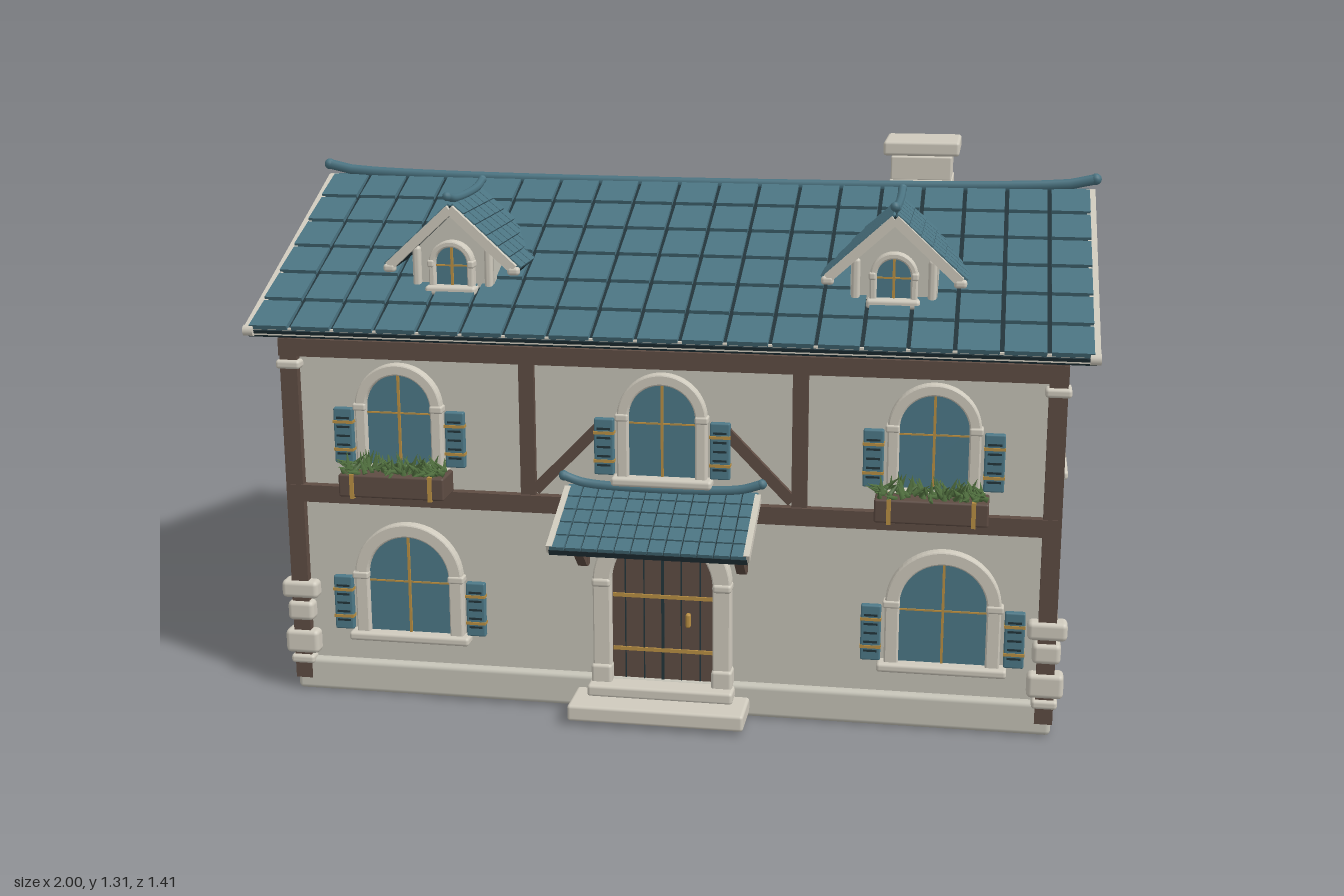
import * as THREE from 'three';
import { mergeGeometries } from 'three/addons/utils/BufferGeometryUtils.js';
import { RoundedBoxGeometry } from 'three/addons/geometries/RoundedBoxGeometry.js';

const paint = (color) => new THREE.MeshStandardMaterial({ color });
const M = {
  wall: paint(0xc6c4b8), stone: paint(0xcfcabd), wood: paint(0x5e4c43), tile: paint(0x4b7482),
  under: paint(0x22343a), glass: paint(0x4d7988), gold: paint(0xb98f43), leaf: paint(0x51703f),
};
const ZC = -0.065, HALF = 0.555; // house depth centre and half depth

const add = (parent, name, geo, mat, x = 0, y = 0, z = 0) => {
  const mesh = new THREE.Mesh(geo, mat);
  mesh.name = name;
  mesh.position.set(x, y, z);
  parent.add(mesh);
  return mesh;
};
const group = (parent, name, x = 0, y = 0, z = 0, yaw = 0, pitch = 0) => {
  const g = new THREE.Group();
  g.name = name;
  g.position.set(x, y, z);
  g.rotation.set(pitch, yaw, 0, 'YXZ');
  parent.add(g);
  return g;
};
const box = (p, name, mat, w, h, d, x, y, z) => add(p, name, new THREE.BoxGeometry(w, h, d), mat, x, y, z);
const block = (p, name, mat, w, h, d, x, y, z, r = 0.008) =>
  add(p, name, new RoundedBoxGeometry(w, h, d, 2, r), mat, x, y, z);

// Straight timber between two points
function beam(parent, name, a, b, w, h, mat = M.wood) {
  const A = new THREE.Vector3(...a), B = new THREE.Vector3(...b);
  const mesh = new THREE.Mesh(new THREE.BoxGeometry(w, h, A.distanceTo(B)), mat);
  mesh.name = name;
  mesh.position.copy(A).add(B).multiplyScalar(0.5);
  mesh.lookAt(B);
  parent.add(mesh);
}

function tube(parent, name, pts, r, mat) {
  const curve = new THREE.CatmullRomCurve3(pts.map((p) => new THREE.Vector3(...p)));
  add(parent, name, new THREE.TubeGeometry(curve, 32, r, 8), mat);
  for (const p of [pts[0], pts.at(-1)]) add(parent, name + 'End', new THREE.SphereGeometry(r * 1.1, 10, 8), mat, ...p);
}

// Roof slope running down local +z, covered in overlapping tiles
function tiledSlope(parent, name, pos, yaw, pitch, width, length, rows, cols, t) {
  const g = group(parent, name, ...pos, yaw, pitch);
  box(g, 'underlay', M.under, width, t, length, 0, -t / 2, length / 2);
  const w = width / cols, l = length / rows, tiles = [];
  for (let r = 0; r < rows; r++) for (let c = 0; c < cols; c++) {
    const tile = new THREE.BoxGeometry(w * 0.9, t * 0.6, l * 0.95);
    tile.rotateX(-0.05);
    tile.translate((c + 0.5) * w - width / 2, t * 0.25, (r + 0.5) * l);
    tiles.push(tile);
  }
  add(g, 'tiles', mergeGeometries(tiles), M.tile);
  return g;
}

function archShape(r, h) {
  const s = new THREE.Shape();
  s.moveTo(-r, 0).lineTo(r, 0).lineTo(r, h);
  s.absarc(0, h, r, 0, Math.PI, false);
  return s;
}
function archFrame(R, r, h, depth) {
  const s = new THREE.Shape();
  s.moveTo(-R, 0).lineTo(-r, 0).lineTo(-r, h);
  s.absarc(0, h, r, Math.PI, 0, true);
  s.lineTo(r, 0).lineTo(R, 0).lineTo(R, h);
  s.absarc(0, h, R, 0, Math.PI, false);
  return new THREE.ExtrudeGeometry(s, { depth, bevelSize: 0.004, bevelThickness: 0.006, bevelSegments: 2, curveSegments: 16 });
}
const archPanel = (r, h, depth) =>
  new THREE.ExtrudeGeometry(archShape(r, h), { depth, bevelEnabled: false, curveSegments: 16 });

// Arched window, its foot at local y = 0, facing local +z
function archWindow(parent, x, y, z, yaw, R, h, shutterX) {
  const g = group(parent, 'window', x, y, z, yaw);
  const r = R * 0.78;
  add(g, 'glass', archPanel(r, h, 0.008), M.glass);
  add(g, 'stoneSurround', archFrame(R - 0.004, r, h, 0.018), M.stone);
  box(g, 'mullion', M.gold, 0.006, h + r, 0.006, 0, (h + r) / 2, 0.01);
  box(g, 'glazingBar', M.gold, r * 2, 0.004, 0.004, 0, h * 0.9, 0.009);
  block(g, 'sill', M.stone, R * 2.25, 0.022, 0.045, 0, -0.008, 0.015);
  for (const s of [-1, 1]) {
    block(g, 'capital', M.stone, R * 0.3, 0.018, 0.032, s * (R + r) / 2, h, 0.012, 0.005);
    if (!shutterX) continue;
    const f = group(g, 'shutter', s * shutterX, 0.072, 0.012);
    block(f, 'shutterFrame', M.glass, 0.047, 0.136, 0.018, 0, 0, 0, 0.004);
    for (let i = -2; i <= 2; i++) box(f, 'slat', M.under, 0.032, 0.005, 0.004, 0, i * 0.022, 0.009);
    for (const k of [-1, 1]) box(f, 'hinge', M.gold, 0.049, 0.007, 0.021, 0, k * 0.034, 0.001);
  }
  return g;
}

// Planter box filled with tilted leaves
function planter(parent, x) {
  const g = group(parent, 'planter', x, 0.553, 0.542);
  block(g, 'planterBox', M.wood, 0.257, 0.055, 0.085, 0, 0, 0, 0.005);
  for (const s of [-1, 1]) box(g, 'bracket', M.gold, 0.01, 0.06, 0.09, s * 0.095, 0, 0.001);
  let seed = 7;
  const rnd = () => (seed = (seed * 16807) % 2147483647) / 2147483647 - 0.5;
  const leaves = [];
  for (let i = 0; i < 110; i++) {
    const leaf = new THREE.ConeGeometry(0.007, 0.045, 4);
    leaf.translate(0, 0.02, 0);
    leaf.rotateX(rnd() * 2.4 + 0.4).rotateZ(rnd() * 2.4);
    leaf.translate(rnd() * 0.25, 0.026 + (rnd() + 0.5) * 0.012, rnd() * 0.07);
    leaves.push(leaf);
  }
  add(g, 'leaves', mergeGeometries(leaves), M.leaf);
}

function dormer(parent, x) {
  const g = group(parent, 'dormer', x);
  const s = new THREE.Shape();
  s.moveTo(-0.1, 0.97).lineTo(0.1, 0.97).lineTo(0.1, 1.08).lineTo(0, 1.172).lineTo(-0.1, 1.08);
  add(g, 'dormerWall', new THREE.ExtrudeGeometry(s, { depth: 0.255, bevelEnabled: false }), M.wall, 0, 0, 0.12);
  archWindow(g, 0, 1.002, 0.375, 0, 0.055, 0.055, 0);
  for (const k of [-1, 1]) {
    tiledSlope(g, 'dormerRoof', [0, 1.195, 0.25], k * Math.PI / 2, 0.738, 0.275, 0.222, 6, 6, 0.014);
    beam(g, 'dormerBargeboard', [0, 1.187, 0.39], [k * 0.152, 1.048, 0.39], 0.018, 0.022, M.stone);
    block(g, 'bargeFoot', M.stone, 0.03, 0.02, 0.022, k * 0.152, 1.043, 0.39);
    block(g, 'dormerPost', M.stone, 0.02, 0.1, 0.025, k * 0.088, 1.045, 0.375);
  }
  tube(g, 'dormerRidge', [[0, 1.22, 0.1], [0, 1.208, 0.15], [0, 1.208, 0.35], [0, 1.22, 0.41]], 0.01, M.tile);
}

export function createModel() {
  const house = new THREE.Group();
  house.name = 'house';

  // Walls with gables, and plinth
  const s = new THREE.Shape();
  s.moveTo(-HALF, 0.02).lineTo(HALF, 0.02).lineTo(HALF, 0.915).lineTo(0, 1.17).lineTo(-HALF, 0.915);
  const walls = new THREE.ExtrudeGeometry(s, { depth: 1.8, bevelEnabled: false });
  walls.translate(0, 0, -0.9).rotateY(-Math.PI / 2);
  add(house, 'walls', walls, M.wall, 0, 0, ZC);
  block(house, 'plinth', M.wall, 1.835, 0.082, 1.15, 0, 0.041, ZC, 0.012);

  // Timber bands, corner posts and corner stones
  for (const [y, h, e] of [[0.507, 0.042, 0], [0.867, 0.042, 0.004]]) box(house, 'timberBand', M.wood, 1.84 + e, h, 1.155 + e, 0, y, ZC);
  for (const x of [-0.9, 0.9]) for (const k of [-1, 1]) {
    const z = ZC + k * 0.553;
    box(house, 'cornerPost', M.wood, 0.042, 0.89, 0.045, x, 0.475, z);
    block(house, 'postCap', M.stone, 0.06, 0.022, 0.062, x, 0.825, z);
    block(house, 'postBase', M.stone, 0.06, 0.022, 0.062, x, 0.08, z);
    if (k > 0) for (const [y, h, w] of [[0.26, 0.045, 0.092], [0.205, 0.05, 0.066], [0.125, 0.06, 0.085]])
      block(house, 'cornerStone', M.stone, w, h, 0.05, x, y, z + 0.006, 0.012);
  }

  // Main roof, eaves boards, bargeboards and ridge
  for (const k of [1, -1]) {
    tiledSlope(house, 'roof', [0, 1.2, -0.07], k > 0 ? 0 : Math.PI, 0.425, 1.955, 0.69, 6, 19, 0.018);
    box(house, 'eavesBoard', M.stone, 1.95, 0.018, 0.014, 0, 0.913, -0.07 + k * 0.618);
    for (const x of [-0.975, 0.975]) {
      beam(house, 'bargeboard', [x, 1.195, -0.07], [x, 0.912, -0.07 + k * 0.625], 0.022, 0.022, M.stone);
      add(house, 'bargeFoot', new THREE.CylinderGeometry(0.013, 0.013, 0.024, 12).rotateZ(Math.PI / 2), M.stone, x, 0.914, -0.07 + k * 0.624);
    }
  }
  tube(house, 'ridge', [[-0.986, 1.23, -0.07], [-0.92, 1.216, -0.07], [0.92, 1.216, -0.07], [0.986, 1.23, -0.07]], 0.013, M.tile);

  // Gable timbers and side windows
  for (const k of [-1, 1]) {
    const x = k * 0.902;
    box(house, 'gableTie', M.wood, 0.03, 0.022, 0.95, x, 0.926, -0.07);
    box(house, 'kingPost', M.wood, 0.038, 0.27, 0.03, x, 1.02, -0.07);
    for (const j of [-1, 1]) beam(house, 'gableRafter', [x, 0.932, -0.07 + j * 0.472], [x, 1.148, -0.07], 0.034, 0.024);
    for (const z of [0.21, -0.342]) {
      archWindow(house, k * 0.9, 0.588, z, k * Math.PI / 2, 0.102, 0.143, 0.134);
      archWindow(house, k * 0.9, 0.168, z, k * Math.PI / 2, 0.12, 0.138, 0.149);
    }
  }

  // Front windows, planters, posts and braces
  const F = ZC + HALF;
  for (const x of [-0.634, 0, 0.628]) archWindow(house, x, 0.583, F, 0, 0.106, 0.145, 0.137);
  for (const x of [-0.634, 0.628]) planter(house, x);
  for (const x of [-0.624, 0.66]) archWindow(house, x, 0.16, F, 0, 0.134, 0.146, 0.166);
  for (const k of [-1, 1]) {
    box(house, 'frontPost', M.wood, 0.036, 0.33, 0.03, k * 0.322, 0.687, F);
    beam(house, 'frontBrace', [k * 0.305, 0.54, F], [k * 0.145, 0.705, F], 0.028, 0.026);
  }

  // Entrance: arched double door, surround and steps
  const door = group(house, 'entrance', 0, 0.075, F);
  add(door, 'doorLeaves', archPanel(0.13, 0.25, 0.012), M.wood);
  add(door, 'doorSurround', archFrame(0.162, 0.126, 0.25, 0.03), M.stone);
  for (let i = -2; i <= 2; i++) box(door, 'plankJoint', M.under, i ? 0.003 : 0.007, 0.34, 0.004, i * 0.045, 0.17, 0.012);
  for (const y of [0.08, 0.215]) box(door, 'doorStrap', M.gold, 0.24, 0.009, 0.006, 0, y, 0.013);
  block(door, 'doorHandle', M.gold, 0.012, 0.035, 0.016, 0.062, 0.16, 0.016, 0.005);
  for (const k of [-1, 1]) {
    block(door, 'pillarBase', M.stone, 0.05, 0.05, 0.05, k * 0.145, 0.02, 0.018);
    block(door, 'pillarCapital', M.stone, 0.046, 0.022, 0.046, k * 0.145, 0.25, 0.018);
  }
  block(house, 'lowerStep', M.stone, 0.42, 0.04, 0.16, 0, 0.03, 0.545);
  block(house, 'upperStep', M.stone, 0.35, 0.03, 0.08, 0, 0.062, 0.52);

  // Porch roof on brackets
  const porch = group(house, 'porch');
  tiledSlope(porch, 'porchRoof', [0, 0.55, 0.49], 0, 0.4, 0.455, 0.23, 5, 12, 0.014);
  tube(porch, 'porchRidge', [[-0.235, 0.58, 0.505], [-0.18, 0.564, 0.505], [0.18, 0.564, 0.505], [0.235, 0.58, 0.505]], 0.011, M.tile);
  for (const k of [-1, 1]) {
    beam(porch, 'porchBrace', [k * 0.19, 0.475, 0.625], [k * 0.19, 0.37, 0.51], 0.022, 0.022);
    box(porch, 'porchPost', M.wood, 0.024, 0.14, 0.025, k * 0.19, 0.43, 0.5);
    beam(porch, 'porchRafter', [k * 0.226, 0.546, 0.5], [k * 0.226, 0.462, 0.7], 0.014, 0.02, M.stone);
  }

  // Dormers and chimney
  dormer(house, -0.527);
  dormer(house, 0.521);
  const chimney = group(house, 'chimney', 0.555, 0, -0.2);
  for (let i = 0; i < 5; i++) block(chimney, 'course', M.stone, 0.152 + (i % 2) * 0.006, 0.06, 0.172 + (i % 2) * 0.006, 0, 1.01 + i * 0.058, 0, 0.004);
  block(chimney, 'cap', M.stone, 0.19, 0.036, 0.205, 0, 1.293, 0);
  return house;
}
